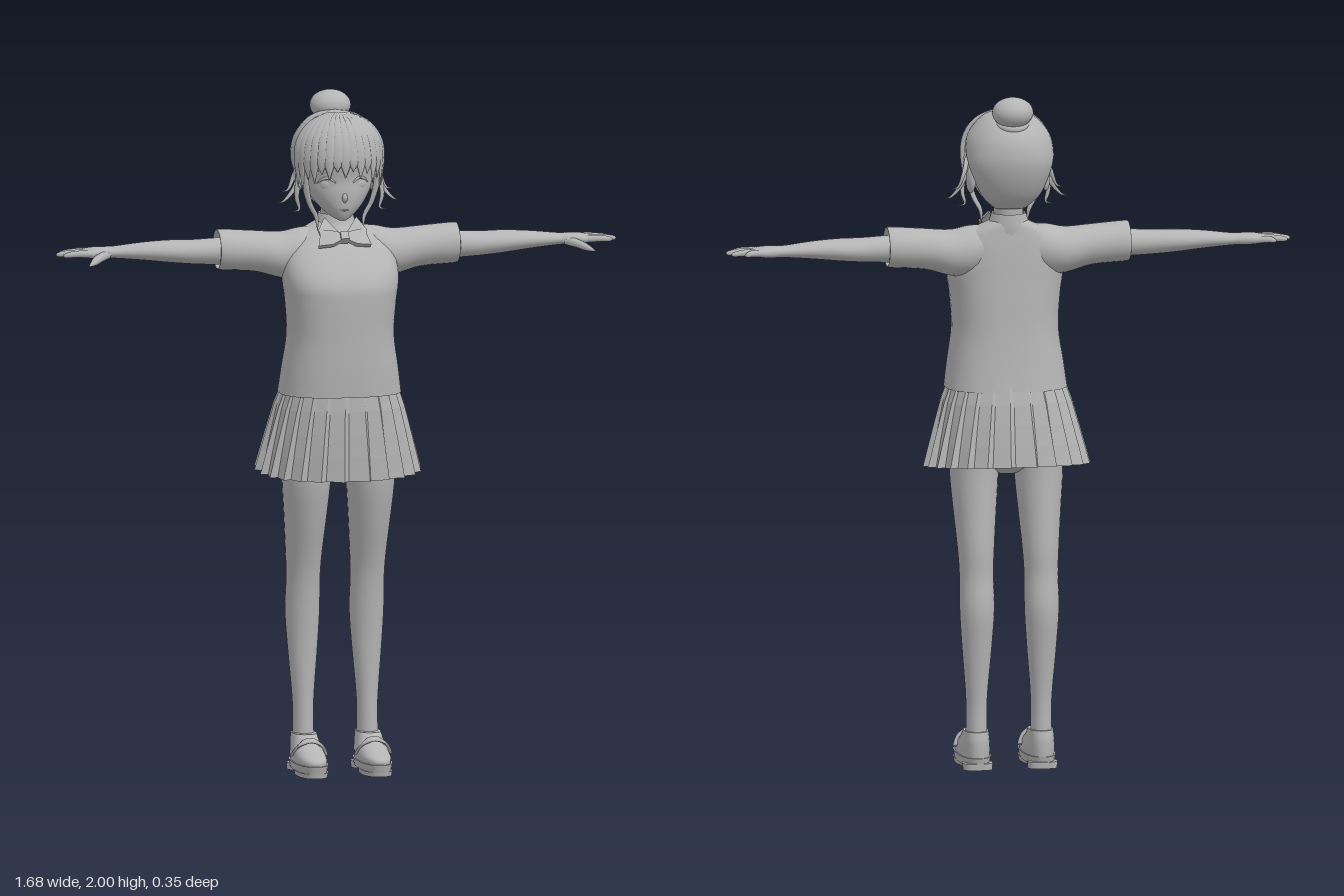
import * as THREE from 'three';

const grey = new THREE.MeshStandardMaterial({ color: 0xb4b4b4, side: THREE.DoubleSide });
grey.name = 'plain grey';

const V = (x, y, z) => new THREE.Vector3(x, y, z);
const UP = V(0, 1, 0), FRONT = V(0, 0, 1), SIDE = V(1, 0, 0);

function mesh(name, geometry) {
  const m = new THREE.Mesh(geometry, grey);
  m.name = name;
  return m;
}

// Smooth skin over cross-sections [x, y, z, halfWidth, halfDepth].
// out: direction of the depth; axis: fixed section normal, or null to follow the path.
function loft(rows, { out = FRONT, axis = UP, n = 2, sides = 28, steps = 4, caps = true } = {}) {
  const path = new THREE.CatmullRomCurve3(rows.map(r => V(r[0], r[1], r[2])), false, 'catmullrom');
  const size = new THREE.CatmullRomCurve3(rows.map(r => V(r[3], r[4], 0)), false, 'catmullrom');
  const count = (rows.length - 1) * steps, pos = [], idx = [];
  const bend = v => Math.sign(v) * Math.abs(v) ** (2 / n);
  const ring = (i, k) => {
    const p = path.getPoint(i / count), s = size.getPoint(i / count);
    const ax = axis || path.getTangent(i / count);
    const w = ax.clone().cross(out).normalize(), o = w.clone().cross(ax);
    for (let j = 0; j < sides; j++) {
      const t = j / sides * Math.PI * 2;
      const q = p.clone().addScaledVector(o, k * Math.max(s.y, 0) * bend(Math.cos(t)))
        .addScaledVector(w, k * Math.max(s.x, 0) * bend(Math.sin(t)));
      pos.push(q.x, q.y, q.z);
    }
  };
  const join = (a, b) => {
    for (let j = 0; j < sides; j++) {
      const k = (j + 1) % sides;
      idx.push(a + j, a + k, b + j, a + k, b + k, b + j);
    }
  };
  for (let i = 0; i <= count; i++) ring(i, 1);
  for (let i = 0; i < count; i++) join(i * sides, (i + 1) * sides);
  if (caps) {
    const c = (count + 1) * sides;
    ring(0, 0); ring(0, 1); ring(count, 1); ring(count, 0);
    join(c, c + sides);
    join(c + 2 * sides, c + 3 * sides);
  }
  const g = new THREE.BufferGeometry();
  g.setAttribute('position', new THREE.Float32BufferAttribute(pos, 3));
  g.setIndex(idx);
  g.computeVertexNormals();
  return g;
}

// Upright section [y, halfWidth, frontZ, backZ], optionally off centre
const up = (rows, x = 0) => rows.map(([y, a, f, b]) => [x, y, (f + b) / 2, a, (f - b) / 2]);

// Tapered lock, finger or line along a free path
const strand = (rows, out = FRONT, sides = 8) => loft(rows, { out, axis: null, sides });

function plate(points, depth) {
  const s = new THREE.Shape(points.map(p => new THREE.Vector2(...p)));
  return new THREE.ExtrudeGeometry(s, { depth, bevelEnabled: false });
}

function ball(x, y, z, rx, ry, rz, turn = 0) {
  return new THREE.SphereGeometry(1, 24, 16).scale(rx, ry, rz).rotateY(turn).translate(x, y, z);
}

// Knife pleats: each rises slowly and folds back sharply
function skirt() {
  const pleats = 24, rings = 4, pos = [];
  const point = (p, f, k, v) => {
    const t = (p + f) / pleats * Math.PI * 2, r = 1 + k * (0.015 + 0.05 * v);
    const c = Math.cos(t), s = Math.sin(t), e = Math.sqrt(v) * 0.3 + v * 0.7;
    const z = 0.02 * (1 - v) + r * THREE.MathUtils.lerp(0.14, 0.168, e) * Math.sign(c) * Math.abs(c) ** 0.85;
    const x = r * THREE.MathUtils.lerp(0.168, 0.236, e) * Math.sign(s) * Math.abs(s) ** 0.9;
    return [x, THREE.MathUtils.lerp(1.15, 0.893 - 0.1 * z, v), z];
  };
  const fold = [[0, -0.7], [0.82, 0.7], [1, -0.7]];
  for (let p = 0; p < pleats; p++) for (let i = 0; i < rings; i++) for (let f = 0; f < 2; f++) {
    const a = point(p, ...fold[f], i / rings), b = point(p, ...fold[f + 1], i / rings);
    const c = point(p, ...fold[f], (i + 1) / rings), d = point(p, ...fold[f + 1], (i + 1) / rings);
    pos.push(...a, ...c, ...b, ...b, ...c, ...d);
  }
  const g = new THREE.BufferGeometry();
  g.setAttribute('position', new THREE.Float32BufferAttribute(pos, 3));
  g.computeVertexNormals();
  return g;
}

function leftSide() {
  const g = new THREE.Group();
  const add = (name, geo) => g.add(mesh(name, geo));

  // Leg
  add('leg', loft(up([[1.0, 0.07, 0.09, -0.08], [0.88, 0.072, 0.1, -0.078], [0.76, 0.063, 0.075, -0.085],
    [0.65, 0.054, 0.042, -0.094], [0.57, 0.05, 0.022, -0.094], [0.47, 0.051, 0.01, -0.105], [0.35, 0.043, 0.002, -0.09],
    [0.2, 0.031, 0, -0.074], [0.08, 0.032, 0.005, -0.076]].reverse(), 0.096)));

  // Loafer
  add('shoeUpper', loft(up([[0.03, 0.045, 0.168, -0.088], [0.05, 0.046, 0.166, -0.089], [0.068, 0.044, 0.12, -0.089],
    [0.088, 0.04, 0.065, -0.088], [0.112, 0.036, 0.03, -0.083]], 0.096), { n: 2.4 }));
  add('shoeSole', loft(up([[0.012, 0.045, 0.168, -0.086], [0.036, 0.049, 0.174, -0.092]], 0.096), { n: 2.5 }));
  add('shoeFrontTread', loft(up([[0, 0.044, 0.165, -0.01], [0.014, 0.046, 0.168, -0.015]], 0.096), { n: 2.5 }));
  add('shoeHeel', loft(up([[0, 0.043, -0.025, -0.088], [0.02, 0.044, -0.025, -0.09]], 0.096), { n: 3 }));
  add('shoeStrap', strand([[0.05, 0.055, 0.035, 0.016, 0.004], [0.068, 0.089, 0.064, 0.016, 0.005],
    [0.096, 0.1, 0.07, 0.016, 0.005], [0.124, 0.089, 0.064, 0.016, 0.005], [0.142, 0.055, 0.035, 0.016, 0.004]], V(0, 1, 0.3)));

  // Sleeve with a turned-in hem, then the bare arm
  const along = { axis: SIDE, out: UP };
  add('sleeve', loft([[0.05, 1.545, -0.025, 0.05, 0.065], [0.11, 1.535, -0.015, 0.075, 0.074], [0.17, 1.53, -0.015, 0.076, 0.068],
    [0.25, 1.543, -0.014, 0.068, 0.06], [0.35, 1.55, -0.013, 0.064, 0.06], [0.349, 1.55, -0.013, 0.057, 0.053],
    [0.3, 1.55, -0.013, 0.053, 0.05]], { ...along, caps: false }));
  add('arm', loft([[0.2, 1.545, -0.013, 0.05, 0.045], [0.35, 1.545, -0.013, 0.048, 0.04], [0.43, 1.545, -0.016, 0.046, 0.036],
    [0.5, 1.548, -0.021, 0.048, 0.033], [0.58, 1.55, -0.025, 0.04, 0.026], [0.66, 1.549, -0.03, 0.03, 0.018],
    [0.69, 1.549, -0.03, 0.033, 0.017]], along));

  // Hand
  add('palm', loft([[0.67, 1.549, -0.03, 0.028, 0.015], [0.7, 1.549, -0.029, 0.036, 0.017], [0.735, 1.549, -0.029, 0.041, 0.015],
    [0.765, 1.549, -0.031, 0.037, 0.009]], { ...along, n: 2.4 }));
  [[0.0, 0.822, 0.002], [-0.021, 0.838, -0.023], [-0.042, 0.826, -0.05], [-0.059, 0.79, -0.07]].forEach(([z, tip, tz]) =>
    add('finger', strand([[0.735, 1.549, z, 0.011, 0.011], [(0.745 + tip) / 2, 1.55, (z + tz) / 2, 0.01, 0.01],
      [tip - 0.008, 1.547, tz, 0.007, 0.007], [tip, 1.546, tz, 0.001, 0.001]], UP)));
  add('thumb', strand([[0.69, 1.545, -0.01, 0.016, 0.014], [0.718, 1.538, 0.02, 0.014, 0.013],
    [0.738, 1.53, 0.045, 0.01, 0.01], [0.757, 1.523, 0.068, 0.002, 0.002]], UP));

  // Ear and eye
  add('ear', ball(0.112, 1.745, -0.03, 0.011, 0.038, 0.022, 0.35));
  add('eye', ball(0.05, 1.745, 0.079, 0.02, 0.017, 0.008, 0.45));
  add('eyelid', strand([[0.026, 1.752, 0.096, 0.002, 0.002], [0.045, 1.765, 0.091, 0.004, 0.004],
    [0.063, 1.761, 0.079, 0.004, 0.004], [0.077, 1.748, 0.065, 0.001, 0.001]]));
  add('eyebrow', strand([[0.025, 1.785, 0.099, 0.001, 0.001], [0.047, 1.793, 0.092, 0.003, 0.002], [0.075, 1.785, 0.072, 0.001, 0.001]]));

  // Loose hair beside the face
  const out = V(0.6, 0, 0.8);
  add('sideLock', strand([[0.1, 1.83, 0.06, 0.014, 0.008], [0.108, 1.76, 0.05, 0.013, 0.008], [0.094, 1.69, 0.04, 0.009, 0.006],
    [0.072, 1.645, 0.036, 0.007, 0.005], [0.068, 1.605, 0.04, 0.001, 0.001]], out));
  [[1.685, 0.18, 0.01], [1.715, 0.165, -0.01], [1.66, 0.14, 0.025]].forEach(([y, x, z]) =>
    add('wisp', strand([[0.115, 1.8, 0.02, 0.01, 0.006], [0.128, y + 0.05, z, 0.008, 0.005],
      [x - 0.02, y + 0.008, z, 0.004, 0.003], [x, y, z, 0.0005, 0.0005]], out)));

  // Collar flap and bow wing
  const tilt = geo => geo.rotateX(-0.75).translate(0, 1.582, 0.083);
  add('collarFlap', tilt(plate([[0.006, 0.012], [0.048, 0.075], [0.072, 0.03], [0.062, -0.014]], 0.008)));
  add('bowWing', tilt(plate([[0, 0.01], [0.03, 0.022], [0.066, 0.032], [0.07, 0.005], [0.078, -0.026], [0.035, -0.026], [0, -0.01]], 0.014)
    .rotateY(0.15).translate(0, 0, 0.006)));
  return g;
}

export function createModel() {
  const model = new THREE.Group();
  model.name = 'girl';
  const add = (name, geo) => model.add(mesh(name, geo));

  // Clothes and trunk
  add('sweater', loft(up([[1.125, 0.18, 0.168, -0.125], [1.2, 0.17, 0.172, -0.115], [1.3, 0.156, 0.174, -0.105],
    [1.4, 0.162, 0.177, -0.1], [1.45, 0.169, 0.173, -0.097], [1.5, 0.17, 0.145, -0.095], [1.55, 0.155, 0.1, -0.092],
    [1.59, 0.12, 0.055, -0.088], [1.615, 0.075, 0.025, -0.086], [1.63, 0.045, 0.01, -0.08]]), { n: 2.5, sides: 40 }));
  add('skirt', skirt());
  add('hips', loft(up([[0.87, 0.03, 0.03, -0.03], [0.91, 0.13, 0.085, -0.08], [0.97, 0.165, 0.11, -0.11], [1.13, 0.14, 0.12, -0.1]])));

  // Neck, collar and bow knot
  add('neck', loft(up([[1.56, 0.045, 0.03, -0.075], [1.62, 0.043, 0.018, -0.078], [1.72, 0.045, 0.02, -0.085]])));
  add('collar', loft(up([[1.585, 0.085, 0.06, -0.088], [1.615, 0.062, 0.034, -0.09], [1.648, 0.05, 0.022, -0.088]]), { caps: false }));
  add('bowKnot', new THREE.BoxGeometry(0.024, 0.026, 0.024).rotateX(-0.75).translate(0, 1.59, 0.095));

  // Face
  add('head', loft(up([[1.637, 0.01, 0.08, 0.05], [1.65, 0.034, 0.091, 0.0], [1.68, 0.066, 0.1, -0.05], [1.72, 0.093, 0.102, -0.09],
    [1.76, 0.104, 0.1, -0.12], [1.82, 0.11, 0.108, -0.14], [1.88, 0.1, 0.085, -0.12], [1.92, 0.05, 0.04, -0.07]]), { sides: 40 }));
  add('nose', ball(0, 1.707, 0.1, 0.008, 0.014, 0.014));
  add('mouth', strand([[-0.018, 1.672, 0.094, 0.001, 0.001], [0, 1.67, 0.098, 0.0025, 0.003], [0.018, 1.672, 0.094, 0.001, 0.001]]));

  // Hair drawn back into a bun
  add('hair', loft(up([[1.665, 0.045, -0.04, -0.086], [1.7, 0.083, -0.02, -0.125], [1.75, 0.108, 0, -0.153],
    [1.8, 0.125, 0.03, -0.168], [1.84, 0.129, 0.075, -0.169], [1.88, 0.12, 0.094, -0.158], [1.92, 0.09, 0.07, -0.128],
    [1.94, 0.058, 0.045, -0.095], [1.95, 0.01, -0.01, -0.04]]), { sides: 40 }));
  add('bun', ball(0, 1.955, -0.106, 0.061, 0.045, 0.058));
  add('bunBand', new THREE.TorusGeometry(0.04, 0.012, 10, 28).rotateX(Math.PI / 2 - 0.35).translate(0, 1.922, -0.095));

  // Fringe of overlapping locks
  for (let i = -7; i <= 7; i++) {
    const t = i * 0.185, s = Math.sin(t), c = Math.cos(t);
    const tip = 1.775 - 0.055 * Math.abs(i / 7) ** 2 + (i % 2 ? 0.012 : -0.008);
    add('fringeLock', strand([[s * 0.03, 1.947, c * 0.03, 0.006, 0.004], [s * 0.085, 1.92, c * 0.075, 0.014, 0.007],
      [s * 0.121, 1.875, c * 0.103, 0.018, 0.008], [s * 0.132, 1.82, c * 0.114, 0.018, 0.007],
      [s * 0.128, tip, c * 0.115, 0.001, 0.001]], V(s, 0.3, c)));
  }

  // Mirrored limbs and details
  const left = leftSide(), right = left.clone();
  left.name = 'leftSide';
  right.name = 'rightSide';
  right.scale.x = -1;
  model.add(left, right);
  return model;
}
